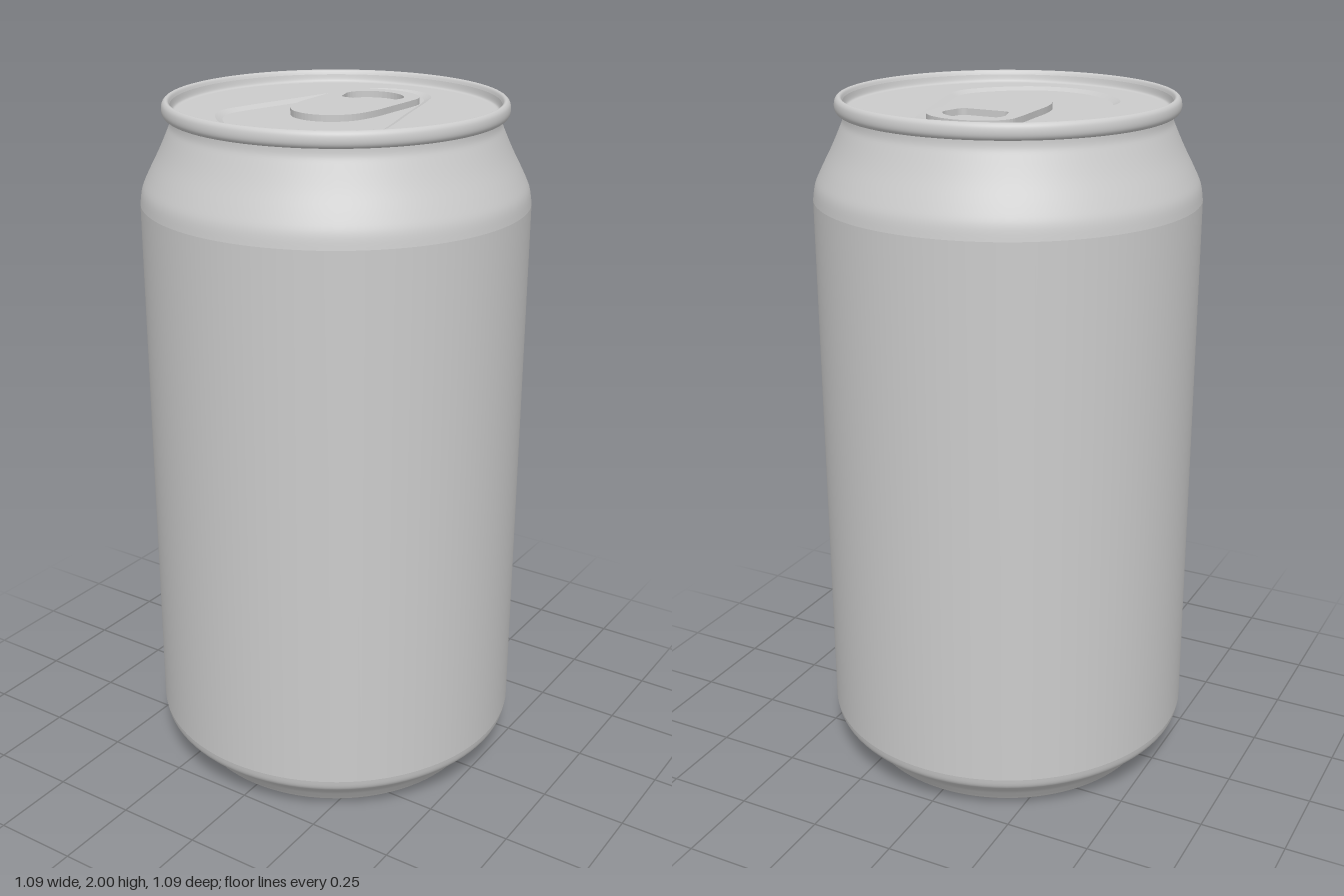
import * as THREE from 'three';

const SEG = 96;
const LID_Y = 1.966;
const RECESS_Y = 1.957;
const metal = new THREE.MeshStandardMaterial({ color: 0xcccccc });
const v = (x, y) => new THREE.Vector2(x, y);

function addMesh(group, name, geometry) {
  const mesh = new THREE.Mesh(geometry, metal);
  mesh.name = name;
  group.add(mesh);
  return mesh;
}

// Smooth curve through a few profile points
const smooth = (pts, n) => new THREE.SplineCurve(pts.map(([x, y]) => v(x, y))).getPoints(n);

const lathe = (pts) => new THREE.LatheGeometry(pts, SEG);

// Lays a flat XY geometry on the ground plane, facing up (shape y becomes -z)
const layFlat = (geo, y) => geo.rotateX(-Math.PI / 2).translate(0, y, 0);

// Closed outline, symmetric in x, from its right half listed bottom to top
function mirroredOutline(half, n) {
  const left = half.slice(1, -1).reverse().map(([x, y]) => [-x, y]);
  const pts = [...half, ...left].map(([x, y]) => new THREE.Vector3(x, y, 0));
  const curve = new THREE.CatmullRomCurve3(pts, true, 'centripetal');
  return curve.getSpacedPoints(n).slice(0, n).map((p) => v(p.x, p.y));
}

// Moves a counterclockwise outline inward
function inset(pts, d) {
  return pts.map((p, i) => {
    const a = pts[(i + pts.length - 1) % pts.length];
    const b = pts[(i + 1) % pts.length];
    const t = b.clone().sub(a).normalize();
    return v(p.x - t.y * d, p.y + t.x * d);
  });
}

// Sloping wall between an upper outer outline and a lower inner one
function slopedWall(outer, inner, yTop, yBottom) {
  const pos = [], index = [], n = outer.length;
  for (let i = 0; i < n; i++) {
    pos.push(outer[i].x, yTop, -outer[i].y, inner[i].x, yBottom, -inner[i].y);
    const a = 2 * i, b = 2 * ((i + 1) % n);
    index.push(a, b, a + 1, b, b + 1, a + 1);
  }
  const geo = new THREE.BufferGeometry();
  geo.setAttribute('position', new THREE.Float32BufferAttribute(pos, 3));
  geo.setIndex(index);
  geo.computeVertexNormals();
  return geo;
}

export function createModel() {
  const can = new THREE.Group();
  can.name = 'drinkCan';

  // Domed underside
  addMesh(can, 'bottomDome', lathe(smooth(
    [[0, 0.11], [0.12, 0.103], [0.24, 0.08], [0.34, 0.045], [0.40, 0.014], [0.418, 0.003]], 20)));

  // Foot ring and curved base
  addMesh(can, 'footRing', lathe(smooth(
    [[0.418, 0.003], [0.425, 0], [0.435, 0.001], [0.445, 0.009]], 8)));
  addMesh(can, 'base', lathe(smooth(
    [[0.445, 0.009], [0.458, 0.028], [0.482, 0.06], [0.515, 0.088], [0.538, 0.112], [0.545, 0.14]], 20)));

  // Straight wall
  addMesh(can, 'wall', lathe([v(0.545, 0.14), v(0.545, 1.72)]));

  // Shoulder and neck
  addMesh(can, 'shoulder', lathe(smooth(
    [[0.545, 1.72], [0.538, 1.76], [0.52, 1.8], [0.49, 1.858], [0.466, 1.91], [0.456, 1.935], [0.454, 1.958]], 24)));

  // Rolled rim, continuing down its inside to the lid
  addMesh(can, 'rim', lathe(smooth(
    [[0.454, 1.956], [0.467, 1.956], [0.475, 1.965], [0.477, 1.978], [0.474, 1.992],
      [0.466, 2], [0.458, 1.998], [0.453, 1.988]], 28)));
  addMesh(can, 'rimInnerWall', lathe(smooth(
    [[0.453, 1.988], [0.45, 1.975], [0.446, 1.968], [0.438, LID_Y]], 10)));

  // Lid with a teardrop recess
  const outer = mirroredOutline([
    [0, -0.376], [0.1, -0.355], [0.19, -0.29], [0.243, -0.22], [0.256, -0.165], [0.245, -0.105],
    [0.195, 0.07], [0.142, 0.26], [0.122, 0.31], [0.075, 0.357], [0, 0.376],
  ], 120);
  const inner = inset(outer, 0.02);
  const lid = new THREE.Shape().absarc(0, 0, 0.44, 0, Math.PI * 2);
  lid.holes.push(new THREE.Path(outer));
  addMesh(can, 'lid', layFlat(new THREE.ShapeGeometry(lid, SEG / 2), LID_Y));
  addMesh(can, 'recessWall', slopedWall(outer, inner, LID_Y, RECESS_Y));
  addMesh(can, 'recessFloor', layFlat(new THREE.ShapeGeometry(new THREE.Shape(inner)), RECESS_Y));

  // Pull tab with a finger hole
  const tab = new THREE.Shape(mirroredOutline([
    [0, -0.134], [0.06, -0.117], [0.103, -0.07], [0.122, 0], [0.127, 0.1], [0.13, 0.19],
    [0.126, 0.235], [0.1, 0.27], [0.055, 0.295], [0, 0.304],
  ], 96));
  const hole = new THREE.Path();
  hole.moveTo(-0.055, 0.133);
  hole.lineTo(0.055, 0.133);
  hole.quadraticCurveTo(0.07, 0.133, 0.077, 0.15);
  hole.lineTo(0.089, 0.19);
  hole.bezierCurveTo(0.097, 0.225, 0.055, 0.266, 0, 0.266);
  hole.bezierCurveTo(-0.055, 0.266, -0.097, 0.225, -0.089, 0.19);
  hole.lineTo(-0.077, 0.15);
  hole.quadraticCurveTo(-0.07, 0.133, -0.055, 0.133);
  tab.holes.push(hole);
  addMesh(can, 'pullTab', layFlat(
    new THREE.ExtrudeGeometry(tab, { depth: 0.018, bevelEnabled: false, curveSegments: 12 }), RECESS_Y));

  return can;
}
